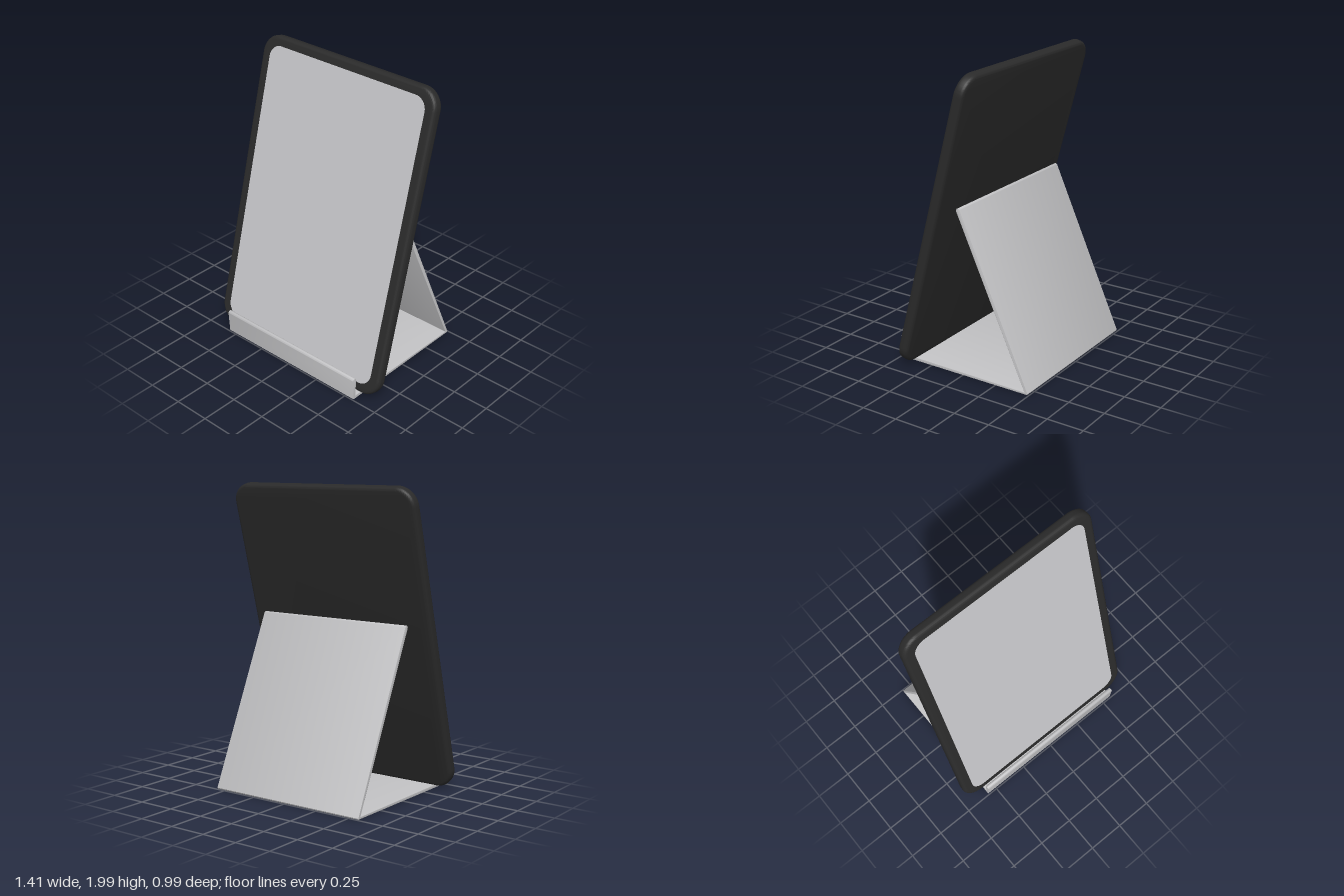
import * as THREE from 'three';
import { toCreasedNormals } from 'three/addons/utils/BufferGeometryUtils.js';

const mat = (name, color) => {
  const m = new THREE.MeshStandardMaterial({ color });
  m.name = name;
  return m;
};

function roundedRect(w, h, r) {
  const x = w / 2, y = h / 2, s = new THREE.Shape();
  s.absarc(x - r, y - r, r, 0, Math.PI / 2);
  s.absarc(-x + r, y - r, r, Math.PI / 2, Math.PI);
  s.absarc(-x + r, -y + r, r, Math.PI, Math.PI * 1.5);
  s.absarc(x - r, -y + r, r, Math.PI * 1.5, Math.PI * 2);
  s.closePath();
  return s;
}

function add(parent, name, geometry, material) {
  const mesh = new THREE.Mesh(geometry, material);
  mesh.name = name;
  parent.add(mesh);
  return mesh;
}

export function createModel() {
  const model = new THREE.Group();
  model.name = 'tabletOnStand';
  const black = mat('black casing', 0x2a2a2a);
  const grey = mat('screen grey', 0xc6c6c9);
  const silver = mat('silver metal', 0xc0c0c2);

  // Tablet: rounded slab leaning back 15 degrees
  const tablet = new THREE.Group();
  tablet.name = 'tablet';
  tablet.position.set(0, 1.008, 0.145);
  tablet.rotation.x = -Math.PI / 12;
  model.add(tablet);

  const thick = 0.074, bevel = 0.024;
  const body = new THREE.ExtrudeGeometry(roundedRect(1.414, 2.036, 0.13), {
    depth: thick - 2 * bevel, bevelThickness: bevel, bevelSize: bevel,
    bevelOffset: -bevel, bevelSegments: 5, curveSegments: 12,
  });
  body.translate(0, 0, bevel - thick / 2);
  add(tablet, 'casing', toCreasedNormals(body, 0.6), black);

  // Screen: thin plate on the front face
  const screen = new THREE.ExtrudeGeometry(roundedRect(1.272, 1.908, 0.085), {
    depth: 0.003, bevelEnabled: false, curveSegments: 10,
  });
  screen.translate(0, 0, thick / 2 - 0.001);
  add(tablet, 'screen', screen, grey);

  // Stand: one bent sheet, its side profile drawn as (z, y)
  const p = new THREE.Shape();
  p.moveTo(0.49, 0.004);
  p.lineTo(0.497, 0.145);
  p.absarc(0.482, 0.149, 0.015, 0, Math.PI);
  p.lineTo(0.472, 0.026);
  p.lineTo(-0.468, 0.018);
  p.lineTo(0.034, 1.105);
  p.absarc(0.021, 1.113, 0.015, -0.5, Math.PI - 0.4);
  p.lineTo(-0.492, 0.012);
  p.lineTo(-0.488, 0.004);
  p.closePath();
  const width = 1.136, edge = 0.003;
  const sheet = new THREE.ExtrudeGeometry(p, {
    depth: width - 2 * edge, bevelThickness: edge, bevelSize: edge,
    bevelOffset: -edge, bevelSegments: 2, curveSegments: 8,
  });
  sheet.translate(0, 0, edge - width / 2);
  sheet.rotateY(-Math.PI / 2);
  add(model, 'stand', toCreasedNormals(sheet, 0.6), silver);

  return model;
}
